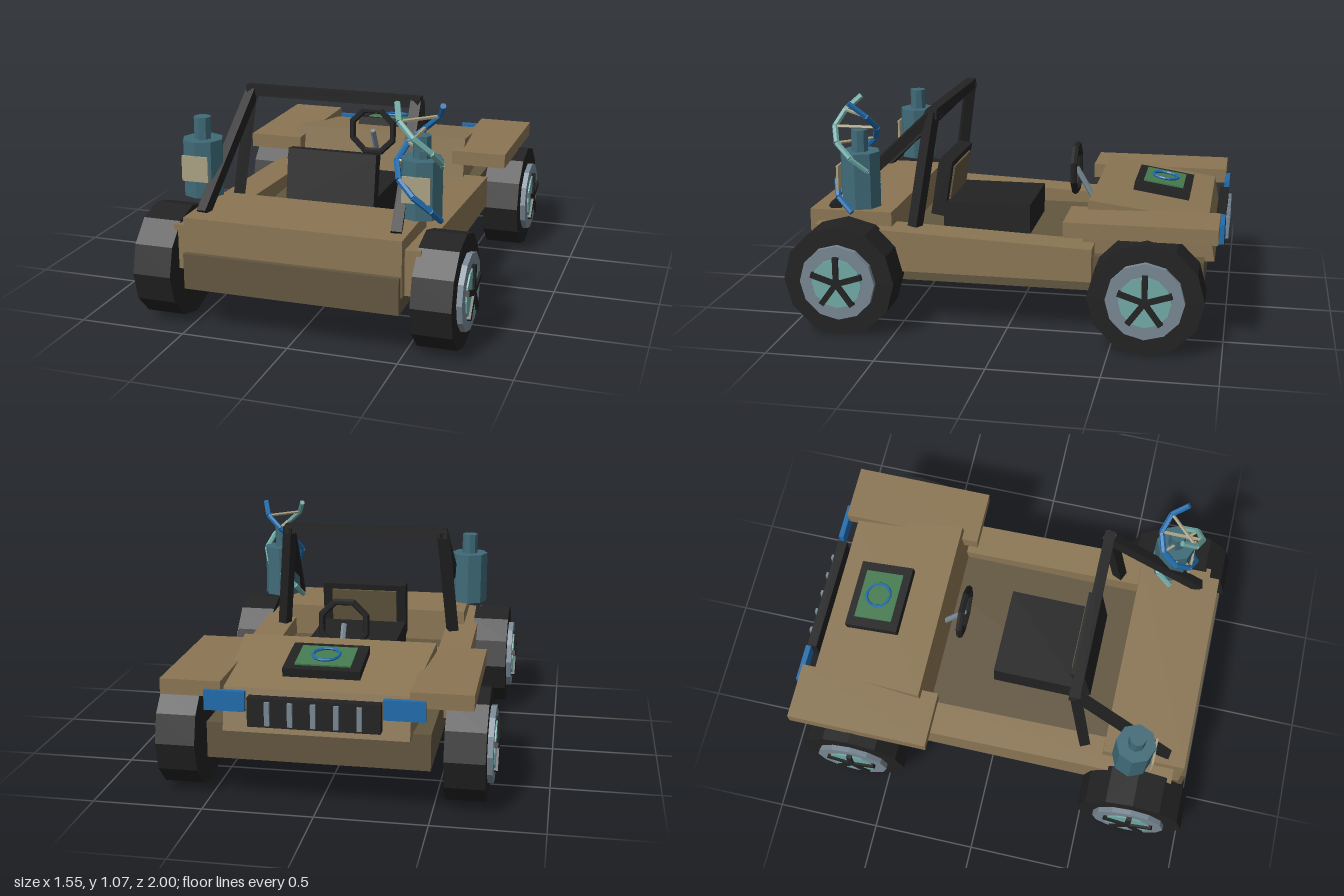
import * as THREE from 'three';

const paint = (name, color) => {
  const m = new THREE.MeshStandardMaterial({ color, flatShading: true });
  m.name = name;
  return m;
};

export function createModel() {
  const tan = paint('tan body', 0x8b7654);
  const brown = paint('dark brown', 0x62563f);
  const black = paint('black', 0x222222);
  const teal = paint('canister teal', 0x3f6b78);
  const mint = paint('pale teal', 0x70aaa6);
  const steel = paint('steel', 0x788894);
  const cream = paint('label cream', 0xaba182);
  const blue = paint('blue', 0x1f6cad);
  const green = paint('screen green', 0x457a50);

  const root = new THREE.Group();
  root.name = 'buggy';

  const add = (name, geo, mat, x = 0, y = 0, z = 0, parent = root) => {
    const m = new THREE.Mesh(geo, mat);
    m.name = name;
    m.position.set(x, y, z);
    parent.add(m);
    return m;
  };
  const group = (name, x = 0, y = 0, z = 0) => {
    const g = new THREE.Group();
    g.name = name;
    g.position.set(x, y, z);
    root.add(g);
    return g;
  };
  // Box given by its limits on each axis
  const block = (name, mat, [x0, x1], [y0, y1], [z0, z1], parent = root) =>
    add(name, new THREE.BoxGeometry(x1 - x0, y1 - y0, z1 - z0), mat,
      (x0 + x1) / 2, (y0 + y1) / 2, (z0 + z1) / 2, parent);
  // Box whose corners are placed by rule(sx, sy, sz), each sign -1 or 1
  const shaped = (rule) => {
    const g = new THREE.BoxGeometry(2, 2, 2);
    const p = g.attributes.position;
    for (let i = 0; i < p.count; i++) p.setXYZ(i, ...rule(p.getX(i), p.getY(i), p.getZ(i)));
    g.computeVertexNormals();
    return g;
  };
  // Straight bar between two points
  const bar = (name, mat, a, b, r, sides, parent = root) => {
    const A = new THREE.Vector3(...a), B = new THREE.Vector3(...b);
    const geo = new THREE.CylinderGeometry(r, r, A.distanceTo(B), sides);
    if (sides === 4) geo.rotateY(Math.PI / 4);
    const m = add(name, geo, mat, 0, 0, 0, parent);
    m.position.copy(A).lerp(B, 0.5);
    m.quaternion.setFromUnitVectors(new THREE.Vector3(0, 1, 0), B.sub(A).normalize());
    return m;
  };

  // Chassis, rear deck and hood
  block('chassis', brown, [-0.495, 0.495], [0.21, 0.375], [-0.9, 0.97]);
  block('rearDeck', tan, [-0.5, 0.5], [0.28, 0.535], [0.55, 0.945]);
  add('hood', shaped((sx, sy, sz) => [
    sx * (sz > 0 ? 0.455 : 0.41),
    sz > 0 ? (sy > 0 ? 0.628 : 0.36) : (sy > 0 ? 0.546 : 0.355),
    sz > 0 ? (sy > 0 ? -0.37 : -0.335) : (sy > 0 ? -0.91 : -0.945),
  ]), tan);

  for (const s of [-1, 1]) {
    // Side rail with a sloping top, and fender
    add('sideRail', shaped((sx, sy, sz) => [
      s * 0.49 + sx * 0.08,
      sy < 0 ? 0.275 : (sz > 0 ? 0.482 : 0.428),
      sz > 0 ? 0.9 : -0.4,
    ]), tan);
    block('fender', tan, s > 0 ? [0.41, 0.68] : [-0.68, -0.41], [0.515, 0.585], [-0.965, -0.285]);
    block('headlight', blue, s > 0 ? [0.3, 0.48] : [-0.48, -0.3], [0.46, 0.55], [-0.985, -0.96]);

    // Roll cage leg and brace
    bar('rollCageLeg', black, [s * 0.398, 1.0, 0.37], [s * 0.45, 0.46, 0.45], 0.036, 4);
    bar('rollCageBrace', black, [s * 0.395, 0.985, 0.375], [s * 0.447, 0.53, 0.85], 0.033, 4);

    // Wheels with hub, dish and five spokes
    for (const z of [0.74, -0.66]) {
      const w = group('wheel', s * 0.64, 0.263, z);
      const disc = (name, r, half, mat) =>
        add(name, new THREE.CylinderGeometry(r, r, half * 2, 12).rotateZ(Math.PI / 2), mat, 0, 0, 0, w);
      disc('tire', 0.26, 0.09, black);
      const rim = disc('rim', 0.176, 0.065, steel);
      rim.position.x = s * 0.05;
      const dish = disc('dish', 0.117, 0.065, mint);
      dish.position.x = s * 0.057;
      for (let i = 0; i < 5; i++) {
        const spoke = new THREE.BoxGeometry(0.02, 0.125, 0.026);
        spoke.translate(0, 0.0625, 0).rotateX(i * Math.PI * 2 / 5);
        add('spoke', spoke, black, s * 0.123, 0, 0, w);
      }
    }

    // Canister with neck and label
    const c = group('canister', s * 0.512, 0, 0.687);
    add('tank', new THREE.CylinderGeometry(0.094, 0.094, 0.26, 8), teal, 0, 0.7, 0, c);
    add('neck', new THREE.CylinderGeometry(0.04, 0.04, 0.1, 8), teal, 0, 0.88, 0, c);
    block('label', cream, [-0.063, 0.063], [0.65, 0.767], [0.088, 0.098], c);
  }
  block('rollCageTop', black, [-0.42, 0.42], [0.968, 1.015], [0.345, 0.395]);

  // Grille with upright bars
  block('grille', black, [-0.29, 0.29], [0.395, 0.525], [-0.985, -0.94]);
  for (let i = -2; i <= 2; i++)
    add('grilleBar', new THREE.BoxGeometry(0.022, 0.105, 0.02), steel, i * 0.1, 0.46, -0.99);

  // Tilted panel on the hood
  const panel = group('hoodPanel', 0, 0.612, -0.68);
  panel.rotation.x = -0.155;
  block('panelCase', black, [-0.172, 0.172], [-0.02, 0.02], [-0.133, 0.133], panel);
  block('panelScreen', green, [-0.125, 0.125], [0.018, 0.027], [-0.095, 0.095], panel);
  add('panelRing', new THREE.TorusGeometry(0.06, 0.007, 6, 16).rotateX(Math.PI / 2), blue, 0, 0.034, 0, panel);

  // Seat: cushion, leaning back and its inset
  block('seatCushion', black, [-0.215, 0.215], [0.375, 0.52], [-0.055, 0.37]);
  const back = group('seatBack', 0, 0.59, 0.378);
  back.rotation.x = -0.16;
  block('backrest', black, [-0.215, 0.215], [-0.14, 0.135], [-0.033, 0.033], back);
  block('backrestInset', brown, [-0.167, 0.167], [-0.1, 0.105], [-0.042, -0.033], back);

  // Steering wheel and column
  add('steeringWheel', new THREE.TorusGeometry(0.115, 0.017, 6, 8).rotateZ(Math.PI / 8), black, 0, 0.665, -0.25);
  bar('steeringColumn', steel, [0, 0.665, -0.25], [0, 0.46, -0.37], 0.014, 6);

  // Double helix wound around the +x canister
  const helix = group('helix', 0.505, 0.557, 0.705);
  const steps = 8;
  const at = (i, phase) => {
    const a = i / steps * Math.PI * 2 + phase;
    return [0.1 * Math.cos(a), i * 0.51 / steps, 0.1 * Math.sin(a)];
  };
  for (let i = 0; i <= steps; i++) {
    if (i < steps) {
      bar('blueStrand', blue, at(i, 0), at(i + 1, 0), 0.014, 6, helix);
      bar('paleStrand', mint, at(i, Math.PI), at(i + 1, Math.PI), 0.014, 6, helix);
    }
    if (i > 0 && i < steps) bar('rung', cream, at(i, 0), at(i, Math.PI), 0.008, 5, helix);
  }
  return root;
}
